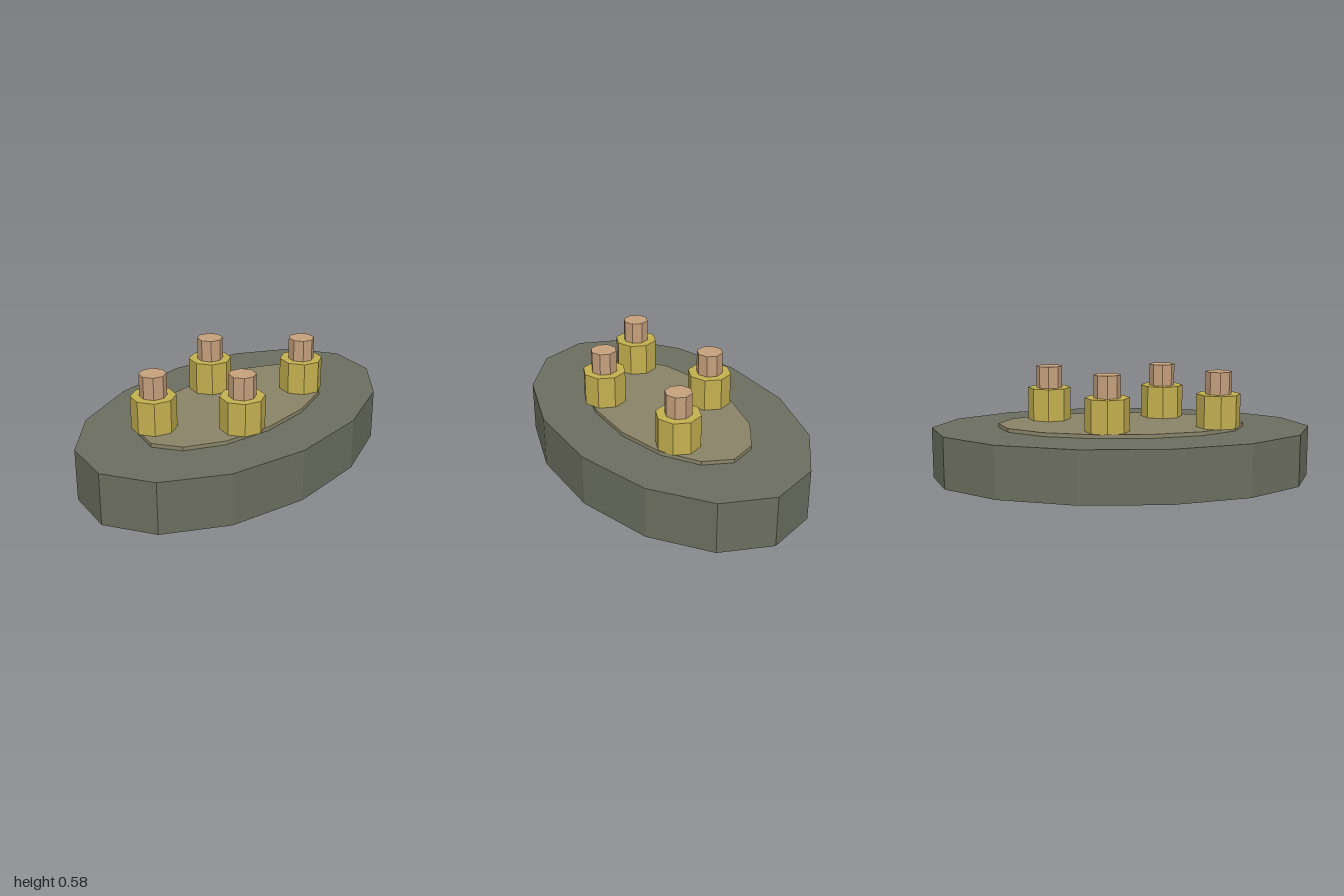
import * as THREE from 'three';

const paint = (color) =>
  new THREE.MeshStandardMaterial({ color, flatShading: true, side: THREE.DoubleSide });
const baseMat = paint(0x6b6e5f);
const plateMat = paint(0x8a8468);
const collarMat = paint(0xc4b050);
const pinMat = paint(0xc6a07c);

// Faceted shell with elliptical radii rx, rz: walls from y0 to y1, closed on top, open below
function shell(name, material, sides, rx, rz, y0, y1) {
  const profile = [[1, y0], [1, y1], [0, y1]].map(([r, y]) => new THREE.Vector2(r, y));
  const geometry = new THREE.LatheGeometry(profile, sides);
  geometry.scale(rx, 1, rz);
  const mesh = new THREE.Mesh(geometry, material);
  mesh.name = name;
  return mesh;
}

export function createModel() {
  const model = new THREE.Group();
  model.name = 'ovalTerminalBlock';

  // Hollow oval body with a thin raised plate on top
  model.add(shell('base', baseMat, 14, 0.615, 1, 0, 0.27));
  model.add(shell('topPlate', plateMat, 14, 0.341, 0.65, 0.27, 0.29));

  // Four octagonal posts in a zigzag, each carrying a narrower pin
  const spots = [[0.153, -0.385], [-0.232, -0.077], [0.231, 0.231], [-0.116, 0.5]];
  spots.forEach(([x, z], i) => {
    const post = new THREE.Group();
    post.name = `post${i + 1}`;
    post.add(shell('collar', collarMat, 8, 0.115, 0.115, 0.29, 0.462));
    post.add(shell('pin', pinMat, 8, 0.069, 0.069, 0.462, 0.578));
    post.position.set(x, 0, z);
    model.add(post);
  });

  return model;
}
